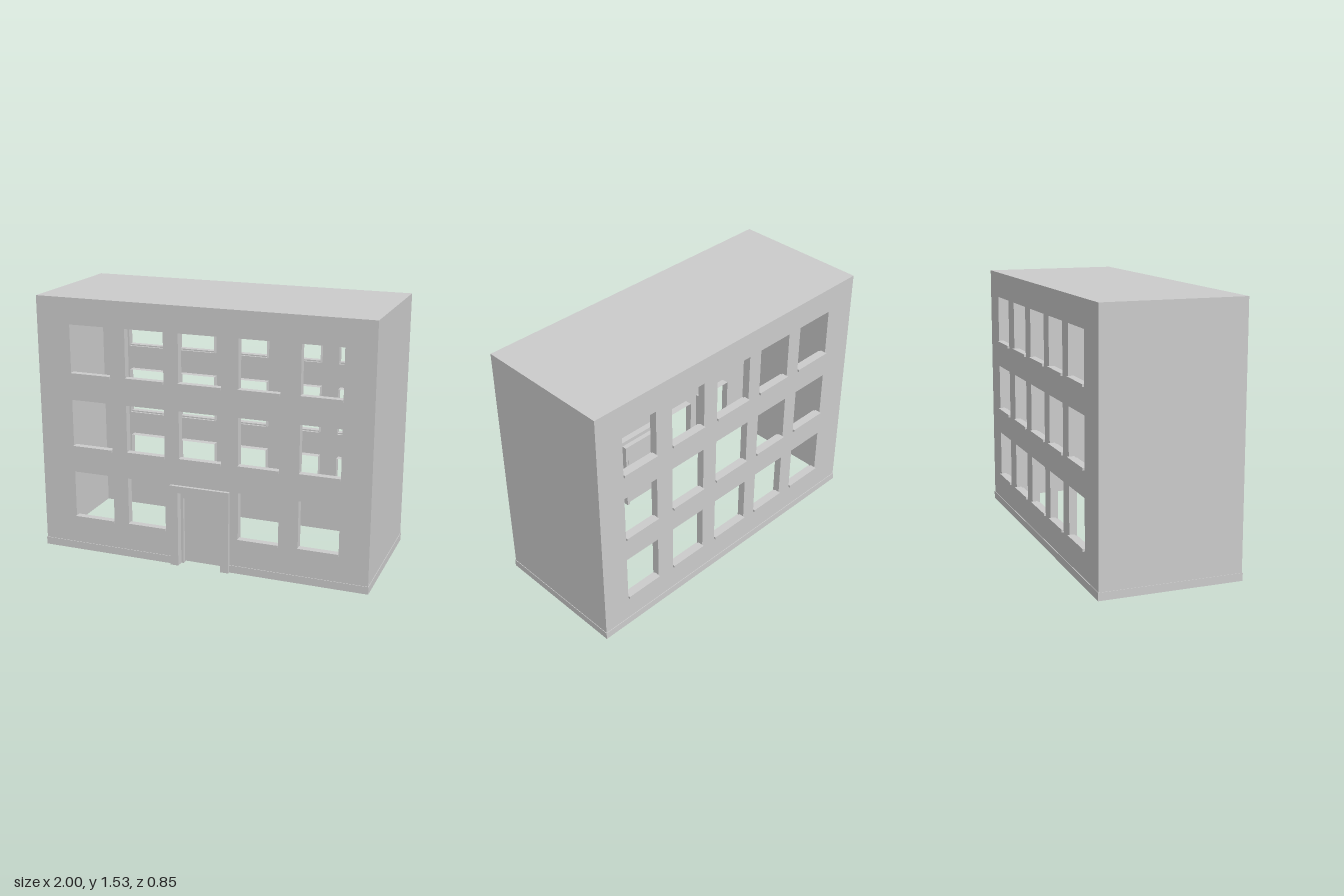
import * as THREE from 'three';

const mat = new THREE.MeshStandardMaterial({ color: 0xcccccc, side: THREE.DoubleSide, flatShading: true });
const H = 1.53, X = 0.997, ZF = 0.405, ZB = -0.415, REVEAL = 0.045;
const columns = [[-0.79, -0.54], [-0.445, -0.21], [-0.12, 0.135], [0.235, 0.475], [0.59, 0.825]];
const floors = [[0.205, 0.49], [0.645, 0.93], [1.085, 1.375]];

function add(parent, name, geometry, x = 0, y = 0, z = 0) {
  const mesh = new THREE.Mesh(geometry, mat);
  mesh.name = name;
  mesh.position.set(x, y, z);
  parent.add(mesh);
  return mesh;
}

// box given by its limits
function block(parent, name, x0, x1, y0, y1, z0, z1) {
  return add(parent, name, new THREE.BoxGeometry(x1 - x0, y1 - y0, z1 - z0),
    (x0 + x1) / 2, (y0 + y1) / 2, (z0 + z1) / 2);
}

const rect = (C, x0, x1, y0, y1) => new C([
  new THREE.Vector2(x0, y0), new THREE.Vector2(x1, y0),
  new THREE.Vector2(x1, y1), new THREE.Vector2(x0, y1),
]);

// thin facade sheet with openings, open reveals behind them and sills in front
function facade(name, z, dir, hasDoor) {
  const group = new THREE.Group();
  group.name = name;
  const outline = [[-X, 0]];
  if (hasDoor) outline.push([-0.15, 0], [-0.15, 0.47], [0.16, 0.47], [0.16, 0]);
  outline.push([X, 0], [X, H], [-X, H]);
  const shape = new THREE.Shape(outline.map(([x, y]) => new THREE.Vector2(x, y)));

  floors.forEach(([y0, y1], f) => columns.forEach(([x0, x1], c) => {
    if (hasDoor && f === 0 && c === 2) return;
    shape.holes.push(rect(THREE.Path, x0, x1, y0, y1));
    const cx = (x0 + x1) / 2, cy = (y0 + y1) / 2, zc = z - dir * REVEAL / 2;
    for (const x of [x0, x1]) {
      add(group, 'windowJamb', new THREE.PlaneGeometry(REVEAL, y1 - y0), x, cy, zc).rotation.y = Math.PI / 2;
    }
    for (const y of [y0, y1]) {
      add(group, 'windowReveal', new THREE.PlaneGeometry(x1 - x0, REVEAL), cx, y, zc).rotation.x = Math.PI / 2;
    }
    const a = z - dir * 0.03, b = z + dir * 0.012;
    block(group, 'windowSill', x0, x1, y0 - 0.007, y0 + 0.008, Math.min(a, b), Math.max(a, b));
  }));

  const wall = new THREE.ShapeGeometry(shape);
  add(group, 'wall', wall, 0, 0, z);
  return group;
}

// three-sided portal frame, open at the ground
function portal(parent, name, x0, x1, top, ix0, ix1, itop, z0, z1) {
  const shape = new THREE.Shape([
    [x0, 0], [ix0, 0], [ix0, itop], [ix1, itop], [ix1, 0], [x1, 0], [x1, top], [x0, top],
  ].map(([x, y]) => new THREE.Vector2(x, y)));
  add(parent, name, new THREE.ExtrudeGeometry(shape, { depth: z1 - z0, bevelEnabled: false }), 0, 0, z0);
}

export function createModel() {
  const model = new THREE.Group();
  model.name = 'building';

  // shell, open at the bottom
  model.add(facade('frontFacade', ZF, 1, true));
  const back = facade('backFacade', ZB, -1, false);
  model.add(back);
  const depth = ZF - ZB, zm = (ZF + ZB) / 2;
  for (const s of [-1, 1]) {
    add(model, 'sideWall', new THREE.PlaneGeometry(depth, H), s * X, H / 2, zm).rotation.y = s * Math.PI / 2;
  }
  add(model, 'roof', new THREE.PlaneGeometry(2 * X, depth), 0, H, zm).rotation.x = -Math.PI / 2;

  // low plinth around the base, interrupted at the door
  const P = 0.045, t = 0.004;
  block(model, 'plinthBack', -1, 1, 0, P, ZB - t, ZB);
  block(model, 'plinthFront', -1, -0.17, 0, P, ZF, ZF + t);
  block(model, 'plinthFront', 0.18, 1, 0, P, ZF, ZF + t);
  block(model, 'plinthSide', -1, -X, 0, P, ZB - t, ZF + t);
  block(model, 'plinthSide', X, 1, 0, P, ZB - t, ZF + t);

  // stepped entrance with a recessed door
  const entrance = new THREE.Group();
  entrance.name = 'entrance';
  portal(entrance, 'doorSurround', -0.175, 0.185, 0.49, -0.125, 0.135, 0.45, 0.365, 0.425);
  portal(entrance, 'doorFrame', -0.14, 0.15, 0.465, -0.11, 0.13, 0.405, 0.335, 0.38);
  block(entrance, 'door', -0.11, 0.12, 0.008, 0.405, 0.345, 0.36);
  model.add(entrance);
  return model;
}
